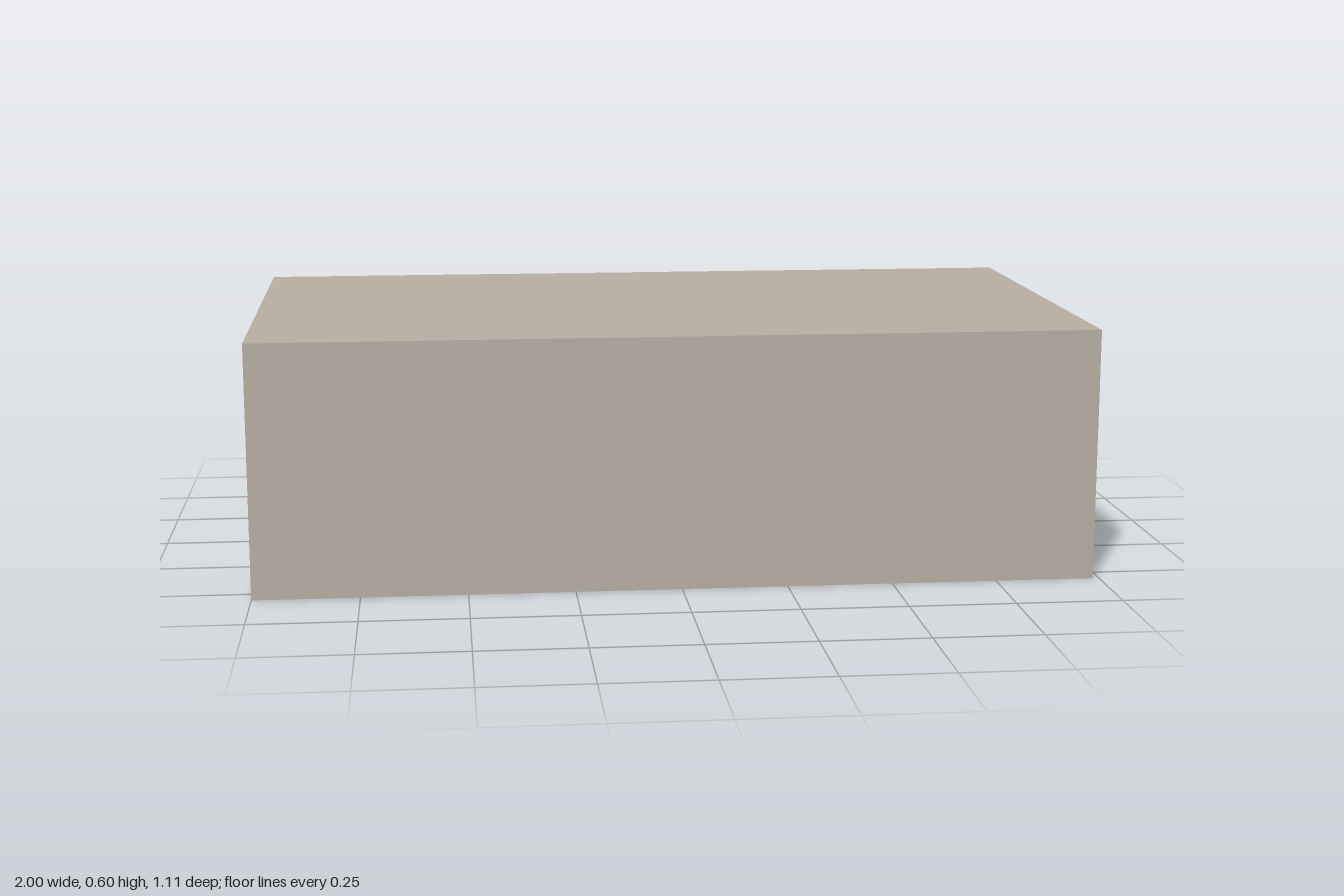
import * as THREE from 'three';

const T = 0.02;               // wall thickness
const H = 0.6;                // total height
const X0 = -1, X1 = 0.985;    // shell ends
const Z = 0.553;              // half depth

export function createModel() {
  const group = new THREE.Group();
  const mat = (name, color) => {
    const m = new THREE.MeshStandardMaterial({ color });
    m.name = name;
    return m;
  };
  const plaster = mat('plaster', 0xb8b0a4);
  const wood = mat('dark wood', 0x6b4f30);
  const glass = mat('tinted glass', 0x6e8e87);

  const add = (name, geo, material) => {
    const mesh = new THREE.Mesh(geo, material);
    mesh.name = name;
    group.add(mesh);
    return mesh;
  };
  // Box given by its minimum and maximum corners
  const box = (name, material, [ax, ay, az], [bx, by, bz]) =>
    add(name, new THREE.BoxGeometry(bx - ax, by - ay, bz - az), material)
      .position.set((ax + bx) / 2, (ay + by) / 2, (az + bz) / 2);
  const rectPoints = (a, b, c, d) =>
    [[a, b], [c, b], [c, d], [a, d]].map(p => new THREE.Vector2(...p));
  // Wall from a to b with a doorway between d0 and d1
  const doorWall = (a, b, d0, d1, top, doorTop) => new THREE.Shape(
    [[a, 0], [d0, 0], [d0, doorTop], [d1, doorTop], [d1, 0], [b, 0], [b, top], [a, top]]
      .map(p => new THREE.Vector2(...p)));
  const extrude = (shape, depth) =>
    new THREE.ExtrudeGeometry(shape, { depth, bevelEnabled: false });

  // Shell, open underneath
  box('roof', plaster, [X0, H - T, -Z], [X1, H, Z]);
  box('frontWall', plaster, [X0 + T, 0, Z - T], [X1 - T, H - T, Z]);
  box('backWall', plaster, [X0 + T, 0, -Z], [X1 - T, H - T, -Z + T]);
  box('windowWall', plaster, [X1 - T, 0, -Z], [X1, H - T, Z]);

  // End wall with wide entrance and small window opening
  const entrance = doorWall(-Z, Z, -0.265, 0.28, H - T, 0.43);
  entrance.holes.push(new THREE.Path(rectPoints(0.297, 0.21, 0.505, 0.415)));
  const entranceWall = add('entranceWall', extrude(entrance, T), plaster);
  entranceWall.rotation.y = -Math.PI / 2;
  entranceWall.position.x = X0 + T;

  // Small inner room against the back wall
  for (const x of [-0.155, -0.725])
    box('partitionSide', plaster, [x - T, 0, -Z + T], [x, H - T, -0.126]);
  add('partitionFront', extrude(doorWall(-0.745, -0.155, -0.615, -0.43, H - T, 0.43), T), plaster)
    .position.z = -0.126;

  // Shallow ceiling panel
  box('ceilingPanel', plaster, [0.08, H - T - 0.004, -0.47], [0.9, H - T, 0.47]);

  // Large framed window
  const frame = new THREE.Shape(rectPoints(-0.376, 0.142, 0.376, 0.521));
  frame.holes.push(new THREE.Path(rectPoints(-0.355, 0.163, 0.355, 0.5)));
  const windowFrame = add('windowFrame', extrude(frame, 1 - X1), wood);
  windowFrame.rotation.y = -Math.PI / 2;
  windowFrame.position.x = 1;
  box('windowPane', glass, [X1, 0.163, -0.355], [X1 + 0.006, 0.5, 0.355]);

  return group;
}
